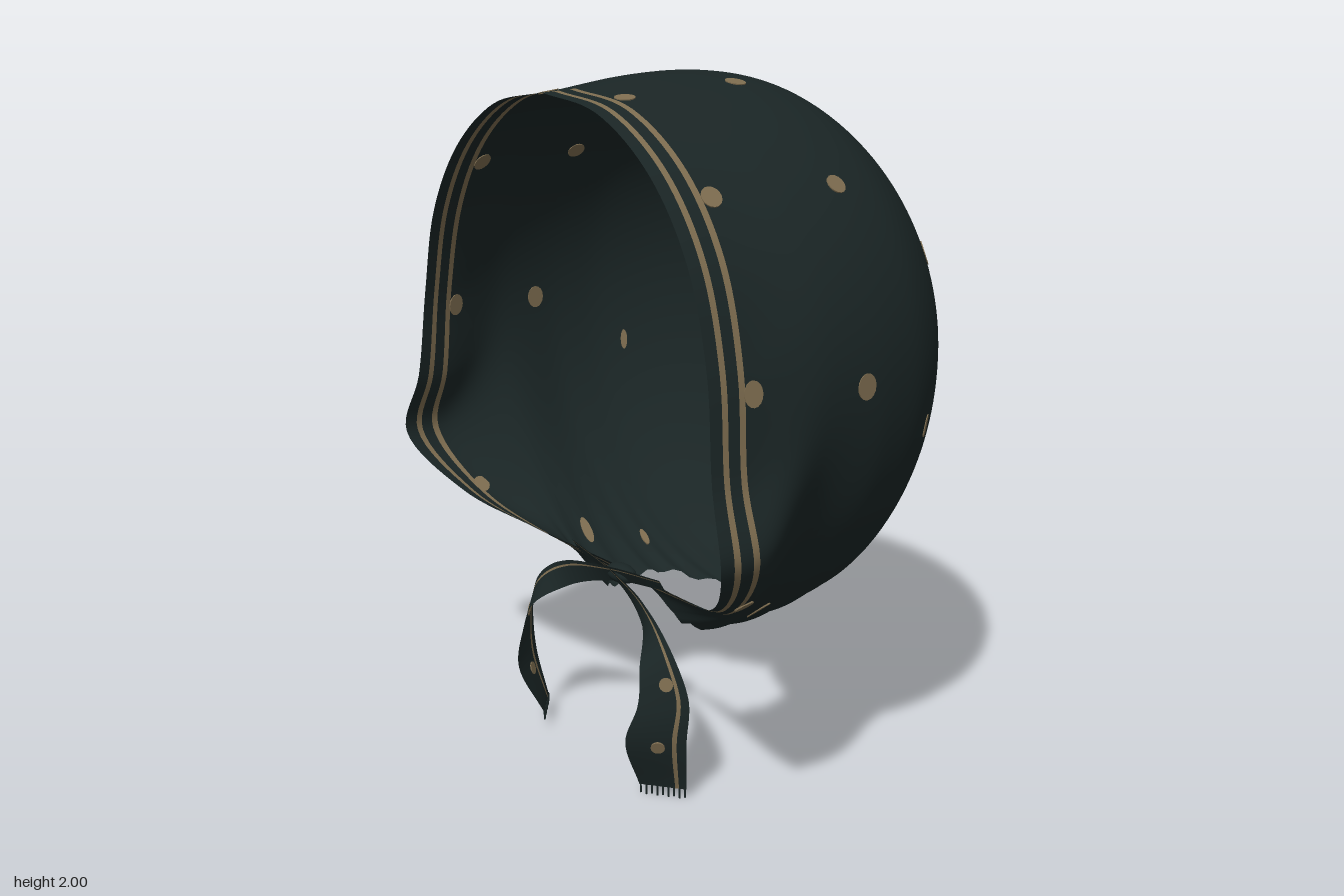
import * as THREE from 'three';

const cloth = new THREE.MeshStandardMaterial({ color: 0x1a2525, side: THREE.DoubleSide });
cloth.name = 'darkCloth';
const trim = new THREE.MeshStandardMaterial({ color: 0x7d6c4f, side: THREE.DoubleSide });
trim.name = 'tanTrim';

const V = (x, y, z) => new THREE.Vector3(x, y, z);
const spline = pts => new THREE.CatmullRomCurve3(pts.map(p => V(...p)));

// half of the face edge and of the hem behind it, from crown to chin
const faceEdge = spline([[0, 1.955, .525], [.25, 1.915, .525], [.47, 1.78, .525], [.62, 1.58, .525],
  [.695, 1.33, .525], [.735, 1.06, .54], [.795, .87, .56], [.635, .7, .46], [.37, .63, .37], [.05, .585, .29]]);
const hemEdge = spline([[0, 1.965, .4], [.26, 1.925, .4], [.485, 1.79, .4], [.635, 1.59, .4],
  [.715, 1.33, .405], [.745, 1.06, .415], [.8, .87, .42], [.64, .68, .36], [.41, .575, .28], [.1, .535, .25]]);

// egg-shaped slice; hole is half the width of the neck opening
function slice(t, z, k, hole) {
  const w = .78 * k;
  const a = t * (Math.PI - Math.asin(hole / Math.max(w, .3)));
  const c = Math.cos(a);
  return V(w * Math.sin(a), 1.25 + k * c * (c > 0 ? .75 : .84), z);
}

// front-to-back line over the hood at t (0 crown, 1 neck)
function meridian(t) {
  const rows = [faceEdge.getPoint(t), hemEdge.getPoint(t), slice(t, .2, .99, .2), slice(t, 0, 1, .22)];
  for (let i = 1; i <= 6; i++) {
    const phi = i * Math.PI / 12;
    rows.push(slice(t, -.565 * Math.sin(phi), Math.max(Math.cos(phi), .001), 0));
  }
  return new THREE.CatmullRomCurve3(rows);
}

// grid surface: point(i, j), row j of cells takes material pick(j)
function grid(nu, nv, point, pick) {
  const pos = [], index = [], geo = new THREE.BufferGeometry();
  for (let j = 0; j <= nv; j++)
    for (let i = 0; i <= nu; i++) pos.push(...point(i, j).toArray());
  for (let j = 0; j < nv; j++) {
    geo.addGroup(index.length, nu * 6, pick(j));
    for (let i = 0; i < nu; i++) {
      const a = j * (nu + 1) + i, b = a + nu + 1;
      index.push(a, a + 1, b, a + 1, b + 1, b);
    }
  }
  geo.setAttribute('position', new THREE.Float32BufferAttribute(pos, 3));
  geo.setIndex(index);
  geo.computeVertexNormals();
  return new THREE.Mesh(geo, [cloth, trim]);
}

function makeHood() {
  const vs = [0, .29, .43, .7, .84, 1];           // hem with two stripes
  for (let i = 1; i <= 80; i++) vs.push(1 + i * .1);
  const nu = 144, lines = [];
  for (let i = 0; i <= nu; i++) lines.push(meridian(Math.abs(i / nu * 2 - 1)));
  const hood = grid(nu, vs.length - 1, (i, j) => {
    const u = i / nu * 2 - 1, v = vs[j];
    const p = lines[i].getPoint(v / 9);
    // gathers radiating from the neck opening
    const near = Math.max(0, (Math.abs(u) - .72) / .28);
    const fade = THREE.MathUtils.smoothstep(v, 1.3, 2) * (1 - THREE.MathUtils.smoothstep(v, 3.5, 4.8));
    const s = 1 + .012 * near * near * fade * Math.sin(v * 15);
    return V(Math.sign(u) * p.x * s, 1.25 + (p.y - 1.25) * s, p.z);
  }, j => (j === 1 || j === 3 ? 1 : 0));
  hood.name = 'hood';
  return hood;
}

// tie ribbon with one thin stripe and a fringed end
function makeTie(side, lift) {
  const tie = new THREE.Group();
  const mid = spline([[-.22, .6, .31], [.02, .565, .325], [.2, .515, .36], [.31, .43, .4],
    [.35, .32, .405], [.335, .2, .42], [.305, .035, .375]]);
  const wide = spline([[0, .035, .02], [.01, .05, .03], [.03, .07, .01], [.07, .05, -.06],
    [.1, .02, -.1], [.11, 0, -.13], [.11, 0, -.085]]);
  const across = [-.5, .26, .34, .5];
  const at = (t, s) => {
    const p = mid.getPoint(t).addScaledVector(wide.getPoint(t), s);
    return V(side * p.x, p.y + lift * t, p.z);
  };
  const ribbon = grid(48, 3, (i, j) => at(i / 48, across[j]), j => (j === 1 ? 1 : 0));
  ribbon.name = 'ribbon';
  tie.add(ribbon);
  for (let i = 0; i < 9; i++) {
    const thread = new THREE.Mesh(new THREE.BoxGeometry(.004, .03, .004), cloth);
    thread.name = 'fringeThread';
    thread.position.copy(at(1, -.47 + i * .1175));
    thread.position.y -= .01 + .004 * (i % 2);
    tie.add(thread);
  }
  tie.name = side > 0 ? 'leftTie' : 'rightTie';
  return { tie, ribbon };
}

// thin oval spot (half width w, half height h) where a ray meets the cloth
const disc = new THREE.CylinderGeometry(1, 1, .005, 16).rotateX(Math.PI / 2);
function addSpot(parent, mesh, from, dir, w, h) {
  const hit = new THREE.Raycaster(from, dir.normalize()).intersectObject(mesh)[0];
  if (!hit) return;
  const spot = new THREE.Mesh(disc, trim);
  spot.name = 'spot';
  spot.position.copy(hit.point);
  spot.lookAt(hit.point.clone().add(hit.face.normal));
  spot.scale.set(w, h, 1);
  parent.add(spot);
}

export function createModel() {
  const model = new THREE.Group();
  model.name = 'bonnet';
  const hood = makeHood();
  model.add(hood);

  const spots = new THREE.Group();
  spots.name = 'spots';
  // position, half width, half height
  const places = [[.2, 1.29, -.53, .029, .042], [.21, 1.79, -.35, .029, .028],
    [.49, 1.1, -.42, .022, .038], [.56, 1.52, -.33, .02, .034], [.71, 1.08, -.22, .011, .033],
    [.78, 1.25, .08, .029, .035], [.6, 1.74, .03, .028, .028], [.2, 1.97, .04, .029, .029],
    [.18, 1.94, .39, .028, .028], [.54, 1.72, .395, .028, .03], [.72, 1.27, .405, .026, .034],
    [.64, .71, .375, .025, .03], [.42, .56, .13, .016, .05], [.34, .53, -.04, .011, .035]];
  for (const s of [-1, 1]) {
    for (const [x, y, z, w, h] of places) {
      const from = V(0, 1.25, Math.max(z, 0));
      addSpot(spots, hood, from, V(s * x, y, z).sub(from), w, h);
    }
    const { tie, ribbon } = makeTie(s, s > 0 ? 0 : .03);
    model.add(tie);
    for (const [x, y] of [[.35, .37], [.335, .18]])
      addSpot(spots, ribbon, V(s * x, y, 1), V(0, 0, -1), .02, .02);
  }
  model.add(spots);

  // knot under the chin
  const knot = new THREE.Mesh(new THREE.SphereGeometry(1, 20, 12), cloth);
  knot.name = 'knot';
  knot.scale.set(.06, .028, .035);
  knot.position.set(0, .57, .295);
  model.add(knot);
  return model;
}
